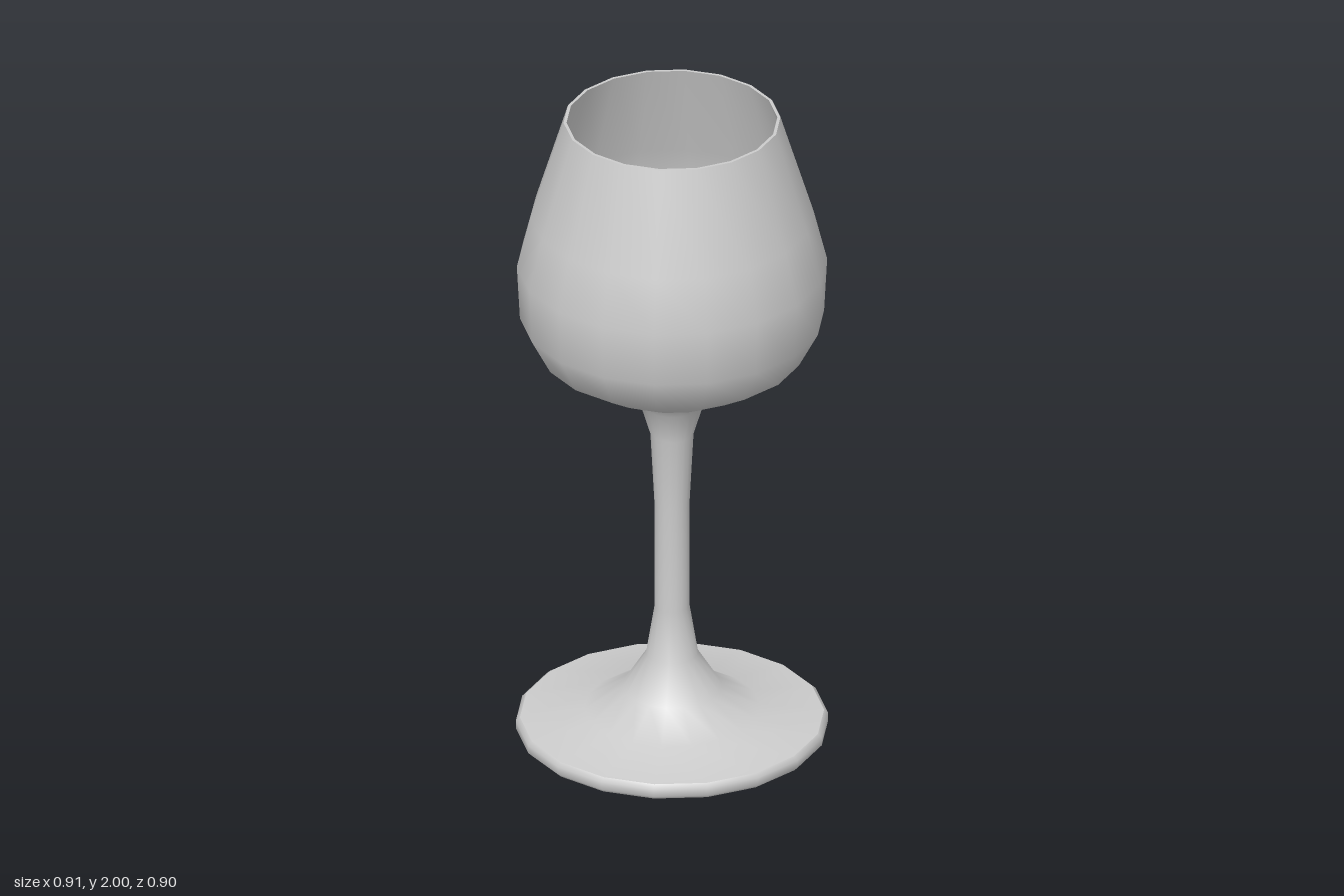
import * as THREE from 'three';

const SIDES = 18;

// Each piece is a smooth lathe of [radius, height] points; edges between pieces stay sharp.
function turned(name, profile, material) {
  const points = profile.map(([r, y]) => new THREE.Vector2(r, y));
  const mesh = new THREE.Mesh(new THREE.LatheGeometry(points, SIDES, Math.PI / 2), material);
  mesh.name = name;
  return mesh;
}

export function createModel() {
  const group = new THREE.Group();
  group.name = 'wineGlass';
  const material = new THREE.MeshStandardMaterial({ color: 0xcccccc });

  // Flat underside of the foot
  group.add(turned('footUnderside', [[0, 0], [0.443, 0]], material));

  // Rounded foot edge
  group.add(turned('footEdge', [
    [0.443, 0], [0.455, 0.012], [0.455, 0.036], [0.443, 0.047],
  ], material));

  // Foot sweeping into the stem and out into the bowl, one continuous skin
  group.add(turned('footStemAndBowl', [
    [0.443, 0.047], [0.255, 0.071], [0.145, 0.14], [0.076, 0.25],
    [0.051, 0.405], [0.051, 0.74], [0.063, 0.97], [0.093, 1.07],
    [0.138, 1.123], [0.208, 1.145], [0.28, 1.185], [0.385, 1.25],
    [0.443, 1.36], [0.452, 1.53], [0.412, 1.69], [0.316, 2],
  ], material));

  // Thin lip
  group.add(turned('rim', [[0.316, 2], [0.307, 2]], material));

  // Inside of the bowl, down to its floor
  group.add(turned('bowlInside', [
    [0.307, 2], [0.402, 1.69], [0.441, 1.53], [0.432, 1.365],
    [0.377, 1.26], [0.275, 1.197], [0.2, 1.16], [0.1, 1.14], [0, 1.135],
  ], material));

  return group;
}
